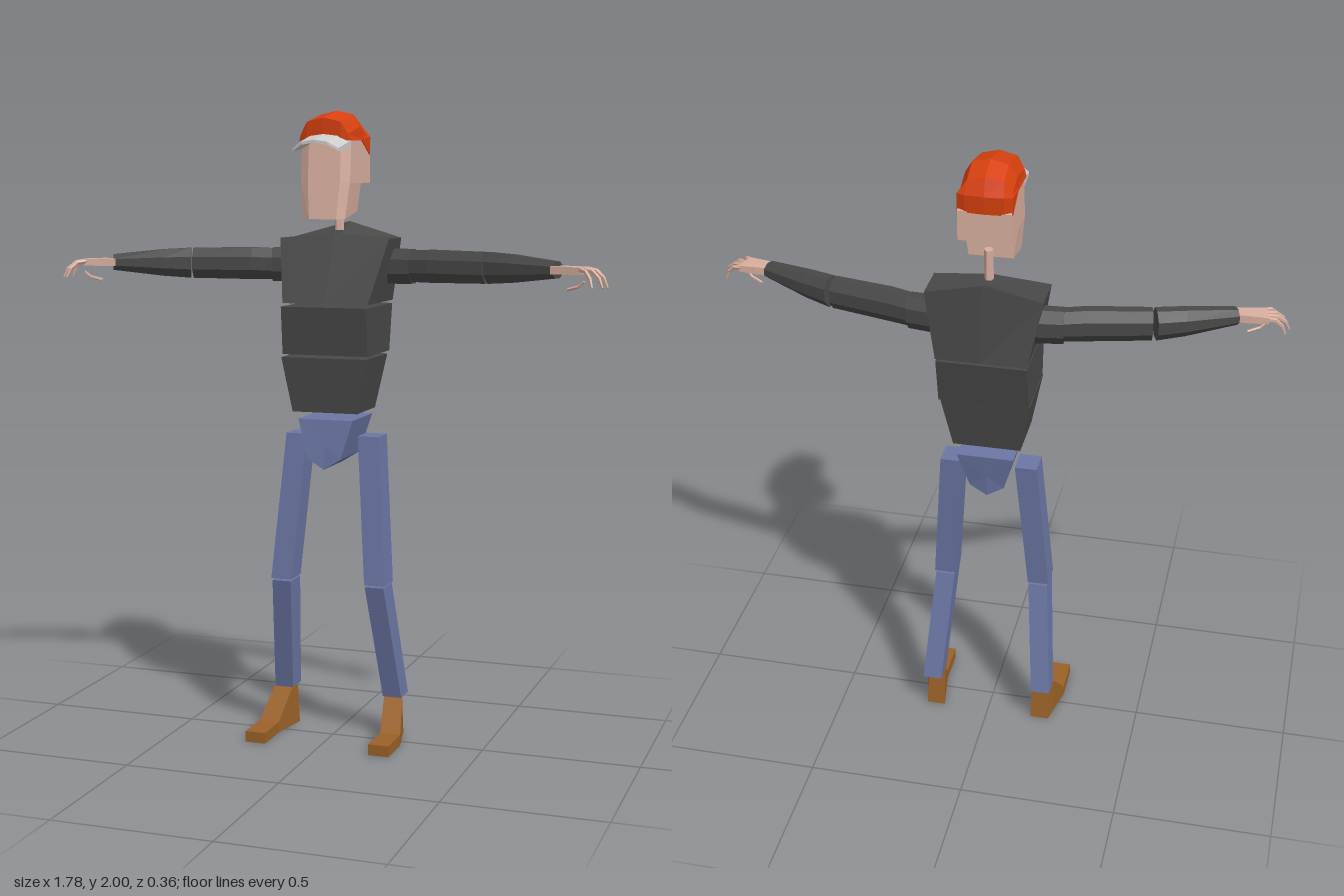
import * as THREE from 'three';

const mat = (color) => new THREE.MeshStandardMaterial({ color, flatShading: true });
const SHIRT = mat(0x484848), JEANS = mat(0x6b76a3), SKIN = mat(0xd9afa0);
const HAT = mat(0xd8400f), SHOE = mat(0x9a6128), GREY = mat(0xcccccc);

// Closed solid through rings of equal point count, wound so that faces point outwards
function loft(name, material, rings) {
  const n = rings[0].length, verts = rings.flat(), tris = [];
  for (let i = 0; i < rings.length - 1; i++) {
    for (let j = 0; j < n; j++) {
      const a = i * n + j, b = i * n + (j + 1) % n;
      tris.push([a, b, b + n], [a, b + n, a + n]);
    }
  }
  for (const [start, flip] of [[0, true], [(rings.length - 1) * n, false]]) {
    const mid = [0, 1, 2].map((k) => verts.slice(start, start + n).reduce((s, v) => s + v[k], 0) / n);
    const c = verts.push(mid) - 1;
    for (let j = 0; j < n; j++) {
      const a = start + j, b = start + (j + 1) % n;
      tris.push(flip ? [c, b, a] : [c, a, b]);
    }
  }
  const v = verts.map((p) => new THREE.Vector3(...p));
  const o = v[0];
  const volume = tris.reduce((s, [a, b, c]) => s + v[a].clone().sub(o)
    .dot(v[b].clone().sub(o).cross(v[c].clone().sub(o))), 0);
  const order = tris.flatMap(([a, b, c]) => (volume < 0 ? [a, c, b] : [a, b, c]));
  const geo = new THREE.BufferGeometry();
  geo.setAttribute('position', new THREE.Float32BufferAttribute(order.flatMap((i) => verts[i]), 3));
  geo.computeVertexNormals();
  const mesh = new THREE.Mesh(geo, material);
  mesh.name = name;
  return mesh;
}

// Level rectangle: height, x range, z range
const rect = (y, x0, x1, z0, z1) => [[x0, y, z0], [x1, y, z0], [x1, y, z1], [x0, y, z1]];

// Round limb along points [x, y, z, height radius, depth radius]
function limb(name, material, pts, sides) {
  const up = new THREE.Vector3(0, 1, 0);
  const at = (i) => new THREE.Vector3(...pts[Math.max(0, Math.min(pts.length - 1, i))].slice(0, 3));
  return loft(name, material, pts.map(([, , , ry, rz], i) => {
    const dir = at(i + 1).sub(at(i - 1)).normalize();
    const across = dir.clone().cross(up).normalize();
    const rise = across.clone().cross(dir);
    return Array.from({ length: sides }, (_, k) => {
      const t = ((k + 0.5) / sides) * Math.PI * 2;
      return at(i).addScaledVector(rise, Math.sin(t) * ry)
        .addScaledVector(across, Math.cos(t) * rz).toArray();
    });
  }));
}

function createTorso() {
  const g = new THREE.Group();
  g.name = 'torso';
  // Chest with sloping shoulders that peak at the nape
  g.add(loft('chest', SHIRT, [
    [[-0.14, 1.405, 0.08], [0, 1.405, 0.08], [0.14, 1.405, 0.08],
      [0.14, 1.405, -0.18], [0, 1.405, -0.18], [-0.14, 1.405, -0.18]],
    [[-0.18, 1.605, -0.01], [0, 1.62, -0.01], [0.18, 1.605, -0.01],
      [0.18, 1.605, -0.14], [0, 1.655, -0.165], [-0.18, 1.605, -0.14]],
  ]));
  g.add(loft('midriff', SHIRT, [
    rect(1.245, -0.14, 0.14, -0.145, 0.08), rect(1.395, -0.14, 0.14, -0.175, 0.095)]));
  g.add(loft('abdomen', SHIRT, [
    rect(1.065, -0.107, 0.107, -0.1, 0.08), rect(1.237, -0.14, 0.14, -0.125, 0.092)]));
  // Pelvis: a tapering outline run from back to front
  const outline = [[-0.09, 1.042], [-0.055, 0.92], [0, 0.886], [0.055, 0.92], [0.09, 1.042]];
  g.add(loft('pelvis', JEANS, [[-0.125, -0.1], [0.075, 0.09]].map(([top, low]) =>
    outline.map(([x, y]) => [x, y, y > 1 ? top : low]))));
  return g;
}

function createHead() {
  const g = new THREE.Group();
  g.name = 'head';
  g.add(limb('neck', SKIN, [[0.0, 1.63, -0.06, 0.014, 0.018], [0.0, 1.725, -0.0601, 0.014, 0.018]]
    .map(([x, y, z, a, b], i) => [x + i * 0.0005, y, z, a, b]), 6));
  // Skull and jaw: side profiles [z, y] run across x, with bevelled front corners
  const across = (profile) => [-1, -0.65, 0.65, 1].map((s) => profile.map(([z, y]) =>
    [s * (y < 1.7 ? 0.068 : 0.08), y, z - (Math.abs(s) === 1 && z > 0 ? 0.015 : 0)]));
  g.add(loft('skull', SKIN, across(
    [[0.088, 1.777], [-0.124, 1.777], [-0.124, 1.87], [-0.04, 1.915], [0.075, 1.915]])));
  g.add(loft('jaw', SKIN, across(
    [[0.1, 1.667], [-0.035, 1.69], [-0.035, 1.78], [0.088, 1.78]])));
  // Cap: profile dropping and shrinking towards the temples
  const cap = [[0.09, 1.905], [0.093, 1.975], [-0.04, 2], [-0.11, 1.972],
    [-0.13, 1.92], [-0.127, 1.865], [-0.035, 1.908]];
  const slices = [[-0.083, 0.05, 0.02], [-0.058, 0.012, 0.006], [0, 0, 0], [0.058, 0.012, 0.006], [0.083, 0.05, 0.02]];
  g.add(loft('cap', HAT, slices.map(([x, drop, inset]) => cap.map(([z, y]) => [
    y > 1.94 ? x * 0.93 : x, y - (y > 1.94 ? drop : 0), z - Math.sign(z + 0.035) * inset * 0.6]))));
  // Arched visor
  const bill = [[-0.08, 0.025, 0.015], [-0.045, 0.006, 0.002], [0, 0, 0], [0.045, 0.006, 0.002], [0.08, 0.025, 0.015]];
  g.add(loft('visor', GREY, bill.map(([x, drop, back]) => [
    [x, 1.93 - drop, 0.07], [x * 0.92, 1.907 - drop, 0.178 - back],
    [x * 0.92, 1.898 - drop, 0.178 - back], [x, 1.905 - drop, 0.07]])));
  return g;
}

function createArm(s) {
  const g = new THREE.Group();
  g.name = s > 0 ? 'leftArm' : 'rightArm';
  const part = (name, material, pts, sides) =>
    g.add(limb(name, material, pts.map(([x, ...rest]) => [s * x, ...rest]), sides));
  part('shoulder', SHIRT, [[0.15, 1.517, -0.105, 0.06, 0.045], [0.235, 1.517, -0.095, 0.058, 0.043]], 8);
  part('upperArm', SHIRT, [[0.2, 1.518, -0.102, 0.052, 0.04], [0.3, 1.52, -0.075, 0.055, 0.042],
    [0.488, 1.52, -0.035, 0.052, 0.04]], 8);
  part('forearm', SHIRT, [[0.498, 1.52, -0.033, 0.052, 0.04], [0.58, 1.521, 0.0, 0.046, 0.04],
    [0.728, 1.523, 0.065, 0.027, 0.03]], 8);
  // Flat palm
  g.add(loft('palm', SKIN, [[0.725, 0.045, 0.09, 0.012], [0.77, 0.045, 0.1, 0.012], [0.825, 0.048, 0.115, 0.01]]
    .map(([x, z0, z1, h]) => [[s * x, 1.523 - h, z0], [s * (x - 0.015), 1.523 - h, z1],
      [s * (x - 0.015), 1.523 + h, z1], [s * x, 1.523 + h, z0]])));
  // Four curled fingers, fanned out
  for (const [x, z, tipX, tipZ] of [[0.82, 0.054, 0.875, 0.066], [0.818, 0.072, 0.885, 0.1],
    [0.814, 0.09, 0.875, 0.128], [0.805, 0.108, 0.85, 0.156]]) {
    const mix = (t) => [x + (tipX - x) * t, z + (tipZ - z) * t];
    part('finger', SKIN, [[-0.1, 1.527, 0.008], [0.45, 1.522, 0.007], [0.8, 1.503, 0.006], [1, 1.475, 0.003]]
      .map(([t, y, r]) => [mix(t)[0], y, mix(t)[1], r, r]), 5);
  }
  // Thumb tucked under the palm
  part('thumb', SKIN, [[0.815, 1.492, 0.098, 0.004, 0.004], [0.798, 1.476, 0.092, 0.005, 0.005],
    [0.762, 1.466, 0.078, 0.005, 0.005]], 5);
  return g;
}

function createLeg(s) {
  const g = new THREE.Group();
  g.name = s > 0 ? 'leftLeg' : 'rightLeg';
  const part = (name, material, rings) =>
    g.add(loft(name, material, rings.map((r) => r.map(([x, y, z]) => [s * x, y, z]))));
  part('thigh', JEANS, [rect(0.985, 0.085, 0.155, -0.075, 0.008), rect(0.517, 0.123, 0.191, -0.032, 0.056)]);
  part('shin', JEANS, [rect(0.511, 0.125, 0.187, -0.033, 0.056), rect(0.13, 0.155, 0.217, -0.12, -0.045)]);
  // Boot: flat toe, then a ramp up to the ankle
  const slice = (x0, x1, top, zTop, zLow) => [[x0, 0, zLow], [x1, 0, zLow], [x1, top, zTop], [x0, top, zTop]];
  part('boot', SHOE, [slice(0.173, 0.24, 0.035, 0.165, 0.165), slice(0.173, 0.24, 0.035, 0.04, 0.04),
    slice(0.158, 0.22, 0.132, -0.05, -0.05), slice(0.15, 0.21, 0.132, -0.077, -0.095)]);
  return g;
}

export function createModel() {
  const model = new THREE.Group();
  model.name = 'figure';
  model.add(createTorso(), createHead());
  for (const s of [1, -1]) model.add(createArm(s), createLeg(s));
  return model;
}
